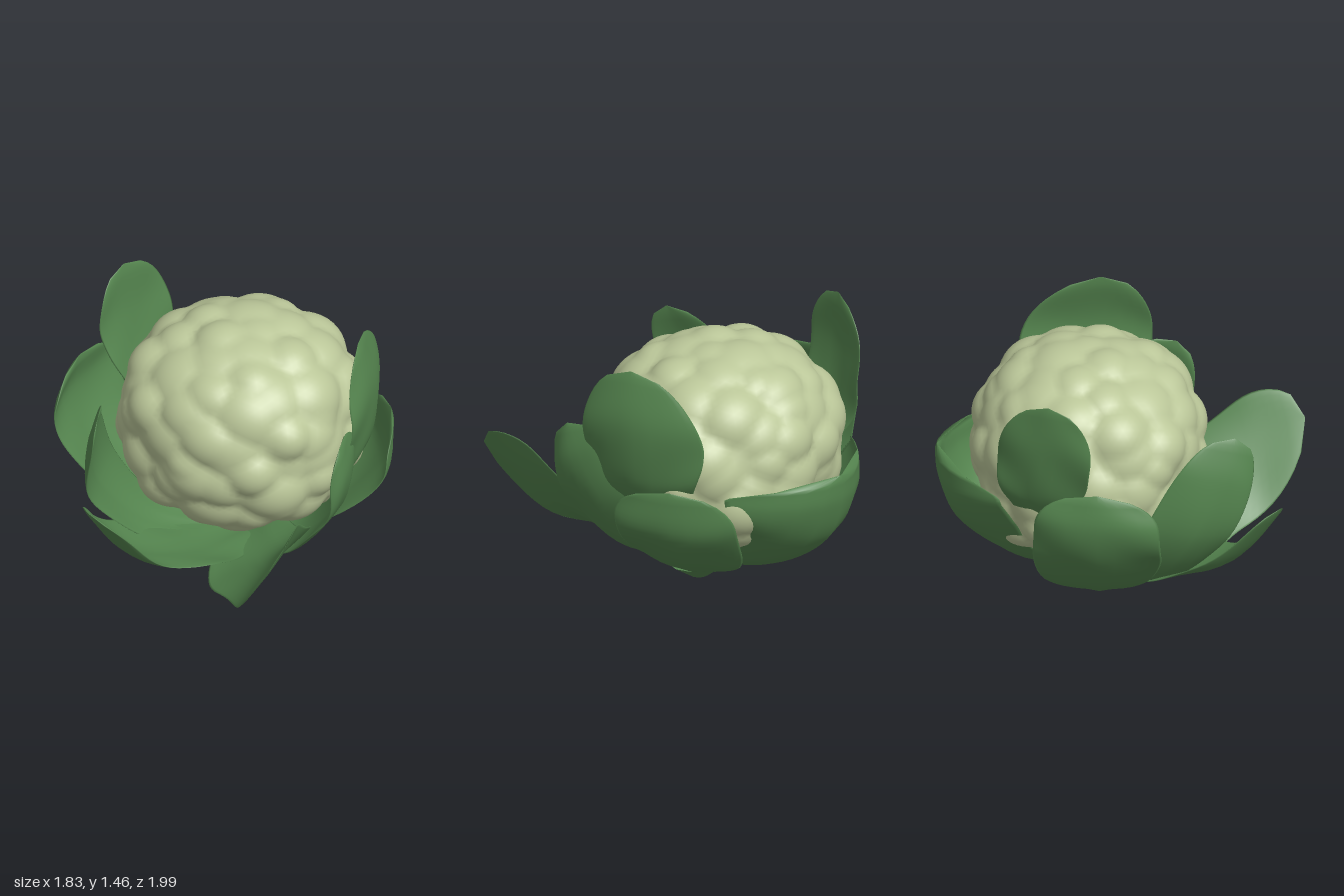
import * as THREE from 'three';
import { mergeVertices } from 'three/addons/utils/BufferGeometryUtils.js';

const V = (p) => new THREE.Vector3(...p);
const HEAD = V([0.05, 0.81, -0.17]);

function seeded(seed) {
  return () => {
    seed = (seed * 16807) % 2147483647;
    return seed / 2147483647;
  };
}

// Lumpy head: a squarish ball raised into irregular florets around scattered centres
function headGeometry() {
  const rand = seeded(77);
  const count = 110;
  const florets = [];
  for (let i = 0; i < count; i++) {
    const y = 1 - (2 * (i + 0.5)) / count;
    const a = i * 2.39996 + (rand() - 0.5) * 0.5;
    const r = Math.sqrt(1 - y * y);
    const dir = V([Math.cos(a) * r, y + (rand() - 0.5) * 0.16, Math.sin(a) * r]).normalize();
    florets.push({ dir, height: 0.05 + rand() * 0.06, size: 0.22 + rand() * 0.12 });
  }
  let g = new THREE.IcosahedronGeometry(1, 22);
  g.deleteAttribute('normal');
  g.deleteAttribute('uv');
  g = mergeVertices(g, 1e-4);
  const pos = g.attributes.position;
  const p = new THREE.Vector3();
  for (let i = 0; i < pos.count; i++) {
    p.fromBufferAttribute(pos, i).normalize();
    let bump = 0;
    for (const f of florets) {
      const d = p.distanceTo(f.dir) / f.size;
      if (d < 1) bump = Math.max(bump, f.height * (1 - d * d));
    }
    const e = 2.25;
    const square = Math.pow(Math.abs(p.x) ** e + Math.abs(p.y) ** e + Math.abs(p.z) ** e, -1 / e);
    const r = square * (0.93 + bump);
    pos.setXYZ(i, p.x * r * 0.67, p.y * r * 0.6, p.z * r * 0.635);
  }
  g.computeVertexNormals();
  return g;
}

// Leaf: flat closed cross-sections swept along a spine, cupped towards the head.
// The half-width vector blends from sideBase to sideTip.
function leafGeometry({ spine, sideBase, sideTip, cup = 0.05, base = 0.45, blunt = 0.68 }) {
  const curve = new THREE.CatmullRomCurve3(spine.map(V));
  const rows = 26, ring = 24;
  const pts = [], index = [];
  for (let i = 0; i <= rows; i++) {
    const t = i / rows;
    const c = curve.getPoint(t);
    const inward = HEAD.clone().sub(c).normalize();
    const side = V(sideBase).lerp(V(sideTip), THREE.MathUtils.smoothstep(t, 0.2, 0.8));
    const tip = Math.max(0, (t - blunt) / (1 - blunt));
    const w = (base + (1 - base) * THREE.MathUtils.smoothstep(t, 0, 0.5)) * Math.sqrt(Math.max(0.0004, 1 - tip ** 2.2));
    for (let j = 0; j < ring; j++) {
      const a = (j / ring) * Math.PI * 2;
      const s = Math.cos(a);
      const ripple = 0.012 * Math.sin(t * 13 + s * 3) * s;
      const vein = -0.015 * Math.exp(-s * s * 40) * (1 - t);
      const depth = cup * s * s * w * w + ripple * w + vein + 0.014 * Math.sin(a) * Math.min(1, w * 2);
      const p = c.clone().addScaledVector(side, s * w).addScaledVector(inward, depth);
      pts.push(p.x, Math.max(0.06, p.y), p.z);
    }
  }
  for (let i = 0; i < rows; i++) {
    for (let j = 0; j < ring; j++) {
      const a = i * ring + j, b = i * ring + ((j + 1) % ring);
      index.push(a, b, a + ring, b, b + ring, a + ring);
    }
  }
  const g = new THREE.BufferGeometry();
  g.setAttribute('position', new THREE.Float32BufferAttribute(pts, 3));
  g.setIndex(index);
  g.computeVertexNormals();
  return g;
}

export function createModel() {
  const group = new THREE.Group();
  const cream = new THREE.MeshStandardMaterial({ color: 0xbbc799 });
  cream.name = 'paleCream';
  const green = new THREE.MeshStandardMaterial({ color: 0x55854f, side: THREE.DoubleSide });
  green.name = 'leafGreen';

  const add = (name, geometry, material) => {
    const mesh = new THREE.Mesh(geometry, material);
    mesh.name = name;
    group.add(mesh);
    return mesh;
  };
  const leaf = (name, shape) => add(name, leafGeometry(shape), green);

  add('head', headGeometry(), cream).position.copy(HEAD);

  // Short tapered stem
  const stem = add('stem', new THREE.CylinderGeometry(0.17, 0.05, 0.1, 12), green);
  stem.position.set(0.13, 0.05, -0.1);
  stem.scale.x = 1.2;

  // Low front leaves
  leaf('frontLeftLeaf', {
    spine: [[0.12, 0.11, -0.08], [0.33, 0.2, 0.3], [0.51, 0.4, 0.64], [0.65, 0.65, 0.99]],
    sideBase: [0.28, 0.12, -0.18], sideTip: [0.16, 0.28, -0.06], cup: 0.04, base: 0.6,
  });
  leaf('frontRightLeaf', {
    spine: [[0.06, 0.1, -0.08], [-0.1, 0.16, 0.27], [-0.31, 0.3, 0.59], [-0.44, 0.7, 0.89]],
    sideBase: [0.32, 0, 0.14], sideTip: [0.18, -0.03, 0.1], base: 0.6, blunt: 0.62,
  });

  // Left side leaves; the tall one grows out of the head's flank
  leaf('leftNarrowLeaf', {
    spine: [[0.12, 0.1, -0.08], [0.47, 0.25, 0.02], [0.73, 0.58, 0.12], [0.81, 0.85, 0.22], [0.79, 1.04, 0.29]],
    sideBase: [0, -0.05, 0.3], sideTip: [0.01, -0.1, 0.19],
  });
  leaf('leftTallLeaf', {
    spine: [[0.68, 0.65, -0.2], [0.77, 0.85, -0.2], [0.8, 1.15, -0.2], [0.74, 1.46, -0.12]],
    sideBase: [0.06, -0.02, 0.34], sideTip: [0.07, -0.02, 0.37], cup: 0.07, base: 0.7, blunt: 0.56,
  });
  leaf('backLeftLeaf', {
    spine: [[0.12, 0.1, -0.15], [0.46, 0.23, -0.31], [0.75, 0.55, -0.43], [0.81, 0.85, -0.44]],
    sideBase: [0.12, 0, 0.28], sideTip: [0.17, 0.02, 0.29], blunt: 0.75,
  });

  // Broad back leaf wrapped around the head
  leaf('backLeaf', {
    spine: [[0.06, 0.1, -0.15], [0.02, 0.19, -0.55], [0, 0.42, -0.87], [0, 0.65, -0.97], [0.01, 0.83, -0.99]],
    sideBase: [0.46, 0, 0], sideTip: [0.52, 0, 0], cup: 0.36, blunt: 0.84,
  });

  // Right side leaves; the tall one grows out of the head's flank
  leaf('rightTallLeaf', {
    spine: [[-0.5, 0.64, -0.4], [-0.62, 0.86, -0.42], [-0.69, 1.15, -0.4], [-0.72, 1.46, -0.37]],
    sideBase: [-0.08, 0, 0.24], sideTip: [-0.1, 0, 0.26], cup: 0.03, base: 0.65, blunt: 0.6,
  });
  leaf('rightWideLeaf', {
    spine: [[0.02, 0.09, -0.1], [-0.48, 0.22, -0.1], [-0.81, 0.55, -0.1], [-0.9, 0.8, -0.1], [-0.87, 1.0, -0.1]],
    sideBase: [0, 0, 0.36], sideTip: [-0.05, 0, 0.34], cup: 0.06, blunt: 0.72,
  });
  leaf('rightFrontLeaf', {
    spine: [[0.02, 0.1, -0.05], [-0.33, 0.2, 0.15], [-0.57, 0.56, 0.38], [-0.56, 0.9, 0.54], [-0.48, 1.15, 0.64]],
    sideBase: [0.04, -0.02, 0.24], sideTip: [0.04, -0.06, 0.21], cup: 0.03,
  });

  return group;
}
